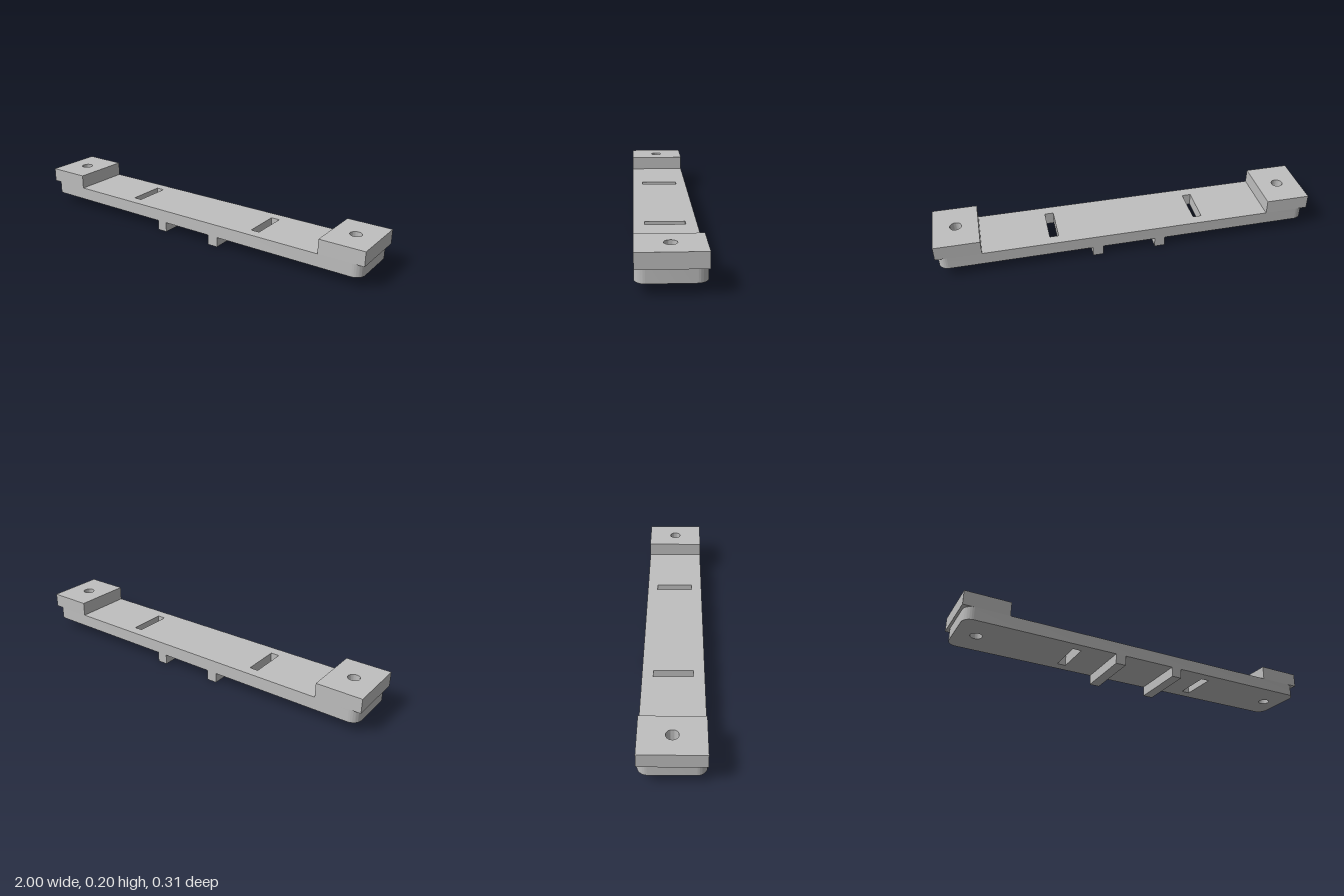
import * as THREE from 'three';
import { toCreasedNormals } from 'three/addons/utils/BufferGeometryUtils.js';

const HALF_DEPTH = 0.156;   // shared half depth of every part
const PLATE_BOTTOM = 0.053;
const PLATE_TOP = 0.12;
const BLOCK_TOP = 0.195;
const HOLE_X = 0.882;

// Rectangle outline with optional rounded corners
function rectangle(Type, x0, x1, halfDepth, r = 0) {
  const p = new Type();
  const d = halfDepth;
  if (!r) {
    p.moveTo(x0, -d).lineTo(x1, -d).lineTo(x1, d).lineTo(x0, d).closePath();
    return p;
  }
  p.moveTo(x0 + r, -d);
  p.absarc(x1 - r, -d + r, r, -Math.PI / 2, 0);
  p.absarc(x1 - r, d - r, r, 0, Math.PI / 2);
  p.absarc(x0 + r, d - r, r, Math.PI / 2, Math.PI);
  p.absarc(x0 + r, -d + r, r, Math.PI, Math.PI * 1.5);
  p.closePath();
  return p;
}

function screwHole(x) {
  return new THREE.Path().absarc(x, 0, 0.03, 0, Math.PI * 2, true);
}

// Raise a plan outline into a solid between two heights
function slab(shape, y0, y1) {
  const geometry = new THREE.ExtrudeGeometry(shape, { depth: y1 - y0, bevelEnabled: false, curveSegments: 16 });
  geometry.rotateX(-Math.PI / 2).translate(0, y0, 0);
  return toCreasedNormals(geometry, 0.6);
}

export function createModel() {
  const group = new THREE.Group();
  group.name = 'mountingBracket';
  const grey = new THREE.MeshStandardMaterial({ color: 0xbfbfbf });
  grey.name = 'grey';

  const add = (name, geometry) => {
    const mesh = new THREE.Mesh(geometry, grey);
    mesh.name = name;
    group.add(mesh);
  };

  // Long plate with rounded corners, two slots and two screw holes
  const plate = rectangle(THREE.Shape, -0.987, 0.987, HALF_DEPTH, 0.05);
  for (const s of [-1, 1]) {
    plate.holes.push(screwHole(s * HOLE_X));
    plate.holes.push(rectangle(THREE.Path, s * 0.39 - 0.023, s * 0.39 + 0.023, 0.1));
  }
  add('basePlate', slab(plate, PLATE_BOTTOM, PLATE_TOP));

  for (const s of [-1, 1]) {
    const side = s > 0 ? 'left' : 'right';

    // Raised end block, square cornered and slightly overhanging the plate
    const block = rectangle(THREE.Shape, s * 0.883 - 0.117, s * 0.883 + 0.117, HALF_DEPTH);
    block.holes.push(screwHole(s * HOLE_X));
    add(side + 'EndBlock', slab(block, PLATE_TOP, BLOCK_TOP));

    // Cross rib beneath the plate
    const rib = new THREE.BoxGeometry(0.055, PLATE_BOTTOM, HALF_DEPTH * 2);
    rib.translate(s * 0.168, PLATE_BOTTOM / 2, 0);
    add(side + 'BottomRib', rib);
  }
  return group;
}
